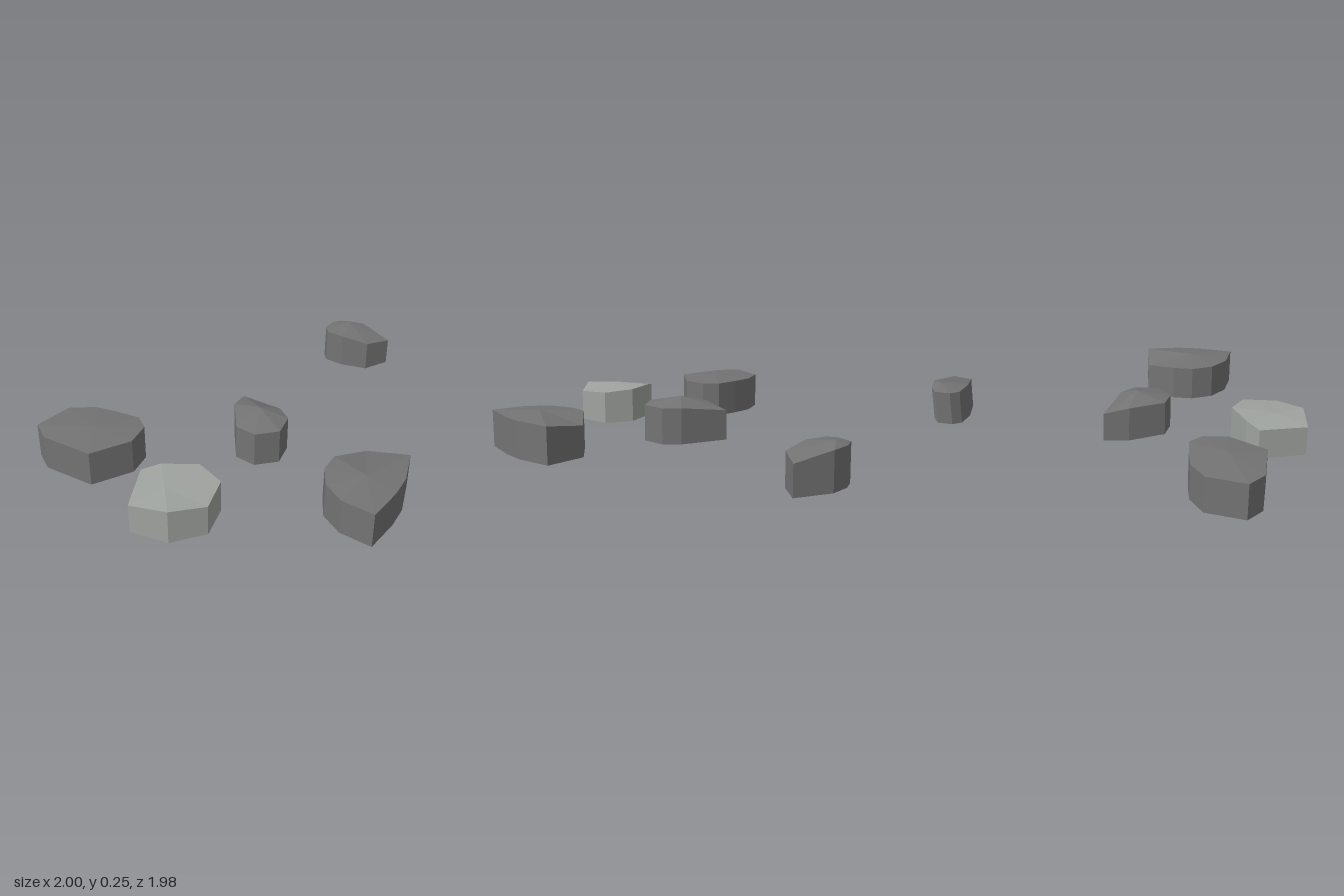
import * as THREE from 'three';

const material = (name, color) => {
  const m = new THREE.MeshStandardMaterial({ color, flatShading: true, side: THREE.DoubleSide });
  m.name = name;
  return m;
};

// Rock shell, open underneath: straight walls below a shallow faceted cap.
// outline holds [x, z, rimHeight = 0.2], clockwise from above; peak is [x, y, z].
function rock(name, mat, outline, peak) {
  const positions = [];
  outline.forEach(([x, z, y = 0.2], i) => {
    const [nx, nz, ny = 0.2] = outline[(i + 1) % outline.length];
    const a = [x, 0, z], b = [nx, 0, nz], c = [nx, ny, nz], d = [x, y, z];
    positions.push(...a, ...d, ...c, ...a, ...c, ...b); // wall
    positions.push(...peak, ...c, ...d); // cap facet
  });
  const geometry = new THREE.BufferGeometry();
  geometry.setAttribute('position', new THREE.Float32BufferAttribute(positions, 3));
  geometry.computeVertexNormals();
  const mesh = new THREE.Mesh(geometry, mat);
  mesh.name = name;
  return mesh;
}

export function createModel() {
  const dark = material('dark stone', 0x737373);
  const light = material('light stone', 0x9fa39f);
  const group = new THREE.Group();
  group.name = 'rocks';

  group.add(
    rock('wideRock', dark, [
      [-1, 0.285], [-0.86, 0.11], [-0.71, 0.095], [-0.59, 0.135], [-0.46, 0.19],
      [-0.42, 0.28], [-0.47, 0.415], [-0.68, 0.54], [-0.94, 0.4],
    ], [-0.67, 0.218, 0.32]),

    rock('paleRock', light, [
      [-0.4, 0.63, 0.175], [-0.3, 0.597, 0.193], [-0.1, 0.597, 0.195], [0.015, 0.72, 0.183],
      [-0.04, 0.91, 0.172], [-0.23, 0.985, 0.192], [-0.43, 0.91, 0.167],
    ], [-0.26, 0.198, 0.8]),

    rock('centreRock', dark, [
      [0.105, -0.11, 0.166], [0.31, 0.065], [0.355, 0.16], [0.31, 0.29],
      [0.175, 0.327], [0.075, 0.255], [0.058, 0.03],
    ], [0.197, 0.245, 0.125]),

    rock('frontRock', dark, [
      [0.765, 0.402, 0.167], [0.982, 0.475], [0.935, 0.68], [0.875, 0.8], [0.757, 0.97],
      [0.605, 0.87], [0.533, 0.745], [0.533, 0.61], [0.588, 0.505],
    ], [0.737, 0.222, 0.685]),

    rock('backRock', dark, [
      [0.61, -0.905], [0.66, -0.983], [0.74, -0.992], [0.85, -0.963],
      [0.998, -0.822, 0.157], [0.86, -0.735, 0.176], [0.71, -0.78], [0.617, -0.845],
    ], [0.76, 0.222, -0.94]),
  );
  return group;
}
